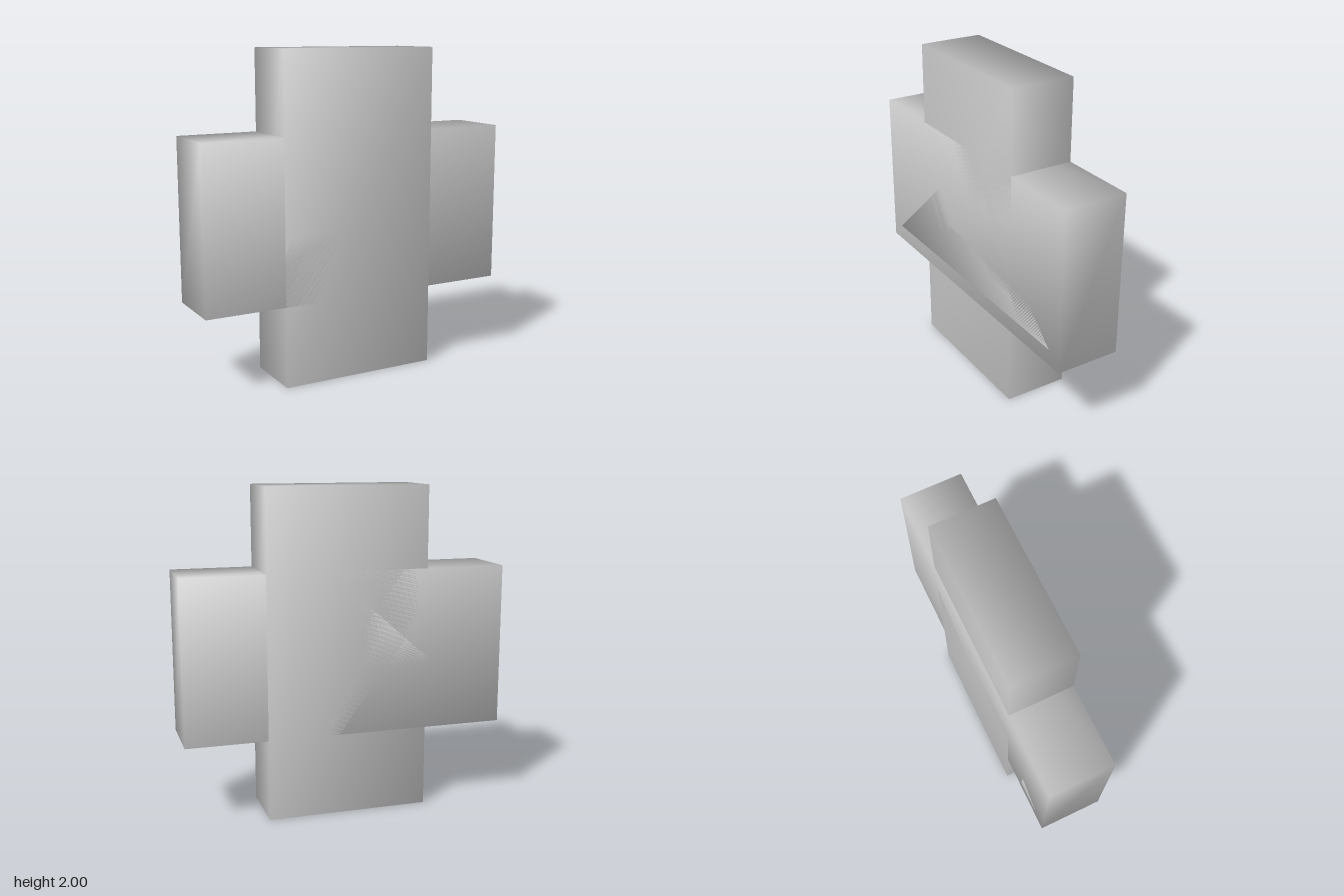
import * as THREE from 'three';
import { mergeVertices } from 'three/addons/utils/BufferGeometryUtils.js';

const DEPTH = 0.4;

// Weld shared corners so normals blend softly across the edges.
function soften(geometry) {
  geometry.deleteAttribute('normal');
  geometry.deleteAttribute('uv');
  const welded = mergeVertices(geometry);
  welded.computeVertexNormals();
  return welded;
}

export function createModel() {
  const group = new THREE.Group();
  const material = new THREE.MeshStandardMaterial({ color: 0xcccccc });

  const add = (name, geometry, y) => {
    const mesh = new THREE.Mesh(soften(geometry), material);
    mesh.name = name;
    mesh.position.y = y;
    group.add(mesh);
  };

  // Two crossing blocks of equal depth
  add('uprightBlock', new THREE.BoxGeometry(1, 2, DEPTH), 1);
  add('crossBlock', new THREE.BoxGeometry(2, 1, DEPTH), 1);

  // Triangular wedge set flush into both faces of the cross
  const triangle = new THREE.Shape([
    new THREE.Vector2(-0.9, 0),
    new THREE.Vector2(0.9, 0),
    new THREE.Vector2(0, 0.8),
  ]);
  const wedge = new THREE.ExtrudeGeometry(triangle, { depth: DEPTH, bevelEnabled: false });
  wedge.translate(0, 0, -DEPTH / 2);
  add('triangularWedge', wedge, 0.6);

  return group;
}
